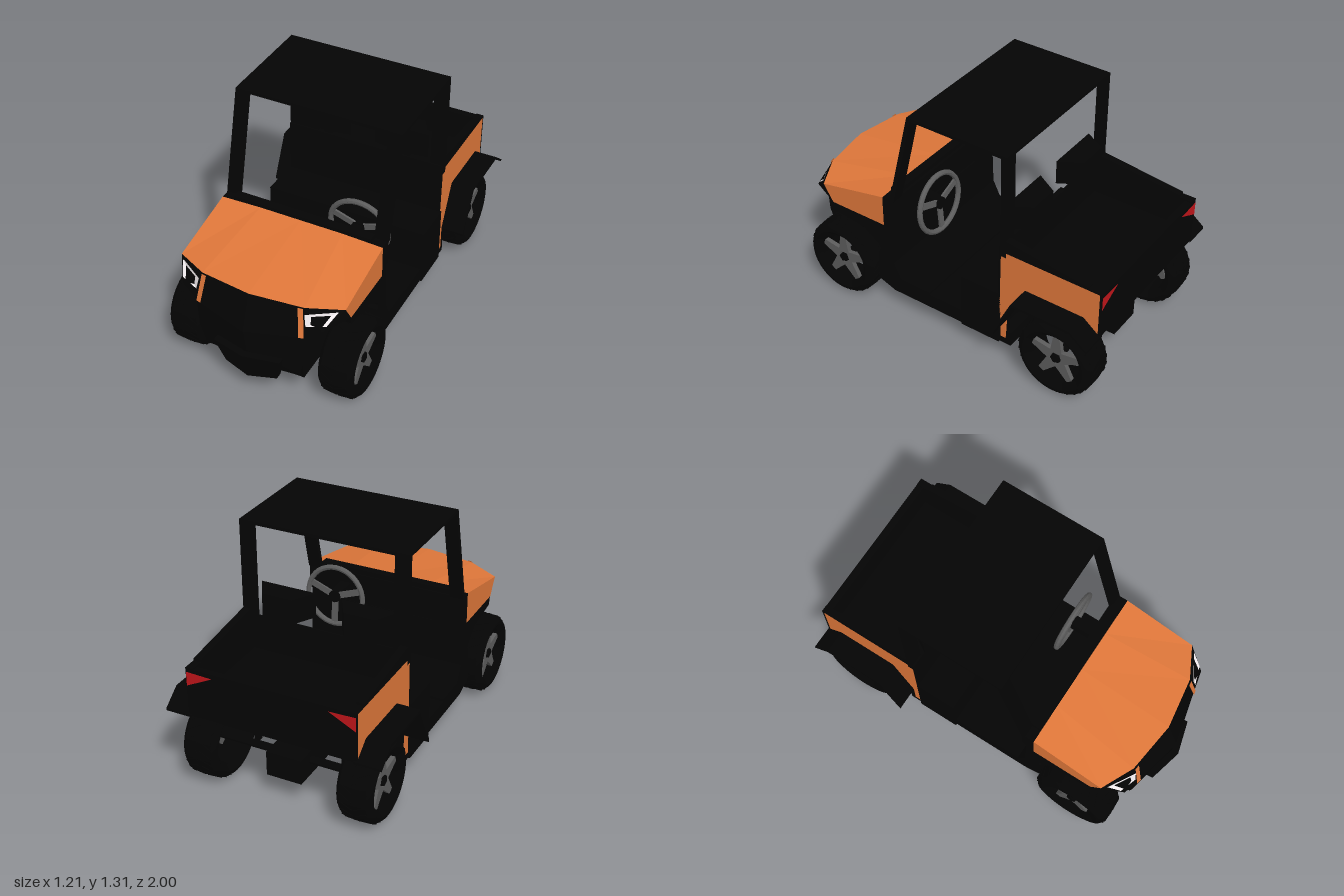
import * as THREE from 'three';
import { mergeGeometries, toCreasedNormals } from 'three/addons/utils/BufferGeometryUtils.js';

const mat = (color) => new THREE.MeshStandardMaterial({ color, flatShading: true, side: THREE.DoubleSide });

export function createModel() {
  const model = new THREE.Group();
  const black = mat(0x040404), orange = mat(0xdf773a), grey = mat(0x5c5c5c);
  const white = mat(0xf2ecee), red = mat(0xc0151a);
  const rubber = new THREE.MeshStandardMaterial({ color: 0x040404 });

  const add = (name, geometry, material, parent = model) => {
    const mesh = new THREE.Mesh(geometry, material);
    mesh.name = name;
    parent.add(mesh);
    return mesh;
  };
  // Box given by its limits on each axis
  const box = (name, material, x0, x1, y0, y1, z0, z1) => add(name,
    new THREE.BoxGeometry(x1 - x0, y1 - y0, z1 - z0)
      .translate((x0 + x1) / 2, (y0 + y1) / 2, (z0 + z1) / 2), material);
  // Side outline of [z, y] points, extruded from x0 to x1
  const side = (name, material, pts, x0, x1) => {
    const shape = new THREE.Shape(pts.map(([z, y]) => new THREE.Vector2(-z, y)));
    const g = new THREE.ExtrudeGeometry(shape, { depth: x1 - x0, bevelEnabled: false });
    return add(name, g.rotateY(Math.PI / 2).translate(x0, 0, 0), material);
  };
  // Flat facets on the left half, mirrored to the right
  const facets = (name, material, polys) => {
    const v = [];
    for (const p of polys) for (let i = 1; i < p.length - 1; i++) {
      const t = [p[0], p[i], p[i + 1]];
      t.forEach(([x, y, z]) => v.push(x, y, z));
      t.reverse().forEach(([x, y, z]) => v.push(-x, y, z));
    }
    const g = new THREE.BufferGeometry();
    g.setAttribute('position', new THREE.Float32BufferAttribute(v, 3));
    g.computeVertexNormals();
    return add(name, g, material);
  };

  // Hood and nose
  const A = [0, .743, .355], P = [.24, .743, .355], B = [.47, .735, .355], C = [.47, .648, .77];
  const D = [.29, .66, .86], E = [0, .667, .9], F = [.47, .55, .71], G = [0, .47, .97];
  const H = [.31, .5, .9], M = [.4, .56, .88], J = [0, .33, .95], K = [.31, .33, .89];
  const L = [.29, .2, .87], N = [0, .2, .9];
  facets('hood', orange, [[A, P, D, E], [P, B, C, D], [B, [.47, .55, .355], F, C]]);
  facets('fascia', black, [[E, D, H, G], [G, H, K, J], [D, C, M, H], [C, F, M], [F, M, H, [.29, .5, .71]], [J, K, L, N]]);
  facets('headlights', white, [[[.445, .643, .796], [.3, .635, .881], [.312, .57, .893], [.41, .585, .861]]]);
  facets('fasciaTrim', orange, [[[.26, .66, .874], [.288, .66, .87], [.308, .503, .907], [.281, .503, .913]]]);
  side('frontFenderBody', black,
    [[.35, .55], [.71, .55], [.7, .5], [.5, .47], [.4, .4], [.35, .31], [.3, .31], [.31, .55]], -.468, .468);
  side('frontChassis', black,
    [[.3, .55], [.71, .56], [.86, .56], [.9, .5], [.893, .33], [.875, .2], [.6, .2], [.3, .12]], -.29, .29);

  // V-shaped front bumper
  const bt = [0, .33, 1], bo = [.19, .32, .95], bb = [0, .15, .95], bc = [.15, .16, .91];
  const back = ([x, y, z]) => [x, y, z - .04];
  facets('bumper', black, [[bt, bo, bc, bb], [bt, bo, back(bo), back(bt)], [bo, bc, back(bc), back(bo)],
    [bc, bb, back(bb), back(bc)], [back(bt), back(bo), back(bc), back(bb)]]);

  // Dash, kick panel, floor, seat base and the wall behind it
  box('dash', black, -.47, .47, .59, .735, .285, .355);
  box('cowlEdge', black, -.4, .4, .73, .76, .3, .352);
  side('kickPanel', black,
    [[.355, .6], [.31, .6], [.3, .31], [.25, .21], [.25, .12], [.3, .12], [.41, .16], [.4, .35], [.355, .42]], -.47, .47);
  box('floor', black, -.47, .47, .12, .205, -.47, .28);
  box('floorSill', black, -.47, .47, .2, .218, .06, .27);
  box('seatBase', black, -.48, .48, .12, .45, -.4, -.16);
  box('seatWall', black, -.472, .472, .13, .757, -.407, -.394);

  // Headrests, narrower at the back
  const rest = (w, z) => [[-w, .95], [w, .95], [w, .81], [.03, .795], [-.03, .795], [-w, .81]]
    .map(([x, y]) => [x + .233, y, z]);
  const front = rest(.158, -.375), rear = rest(.085, -.5);
  facets('headrests', black, [front, rear.slice().reverse(),
    ...front.map((p, i) => [p, rear[i], rear[(i + 1) % 6], front[(i + 1) % 6]])]);
  for (const x of [-.24, .24]) box('headrestStem', black, x - .02, x + .02, .74, .81, -.45, -.41);

  // Roof and pillars
  box('roof', black, -.473, .473, 1.293, 1.31, -.437, .165);
  for (const x of [-.473, .396]) {
    side('frontPillar', black, [[.305, .73], [.165, 1.31], [.145, 1.3], [.28, .73]], x, x + .077);
    box('rearPillar', black, x, x + .077, .7, 1.3, -.437, -.405);
  }

  // Cargo bed with side panels, rails and rear mudguards
  box('bedFloor', black, -.44, .44, .53, .56, -.98, -.41);
  box('tailgate', black, -.43, .43, .5, .73, -.986, -.955);
  box('tailgateSkin', black, -.472, .472, .46, .732, -.996, -.985);
  const arch = [[-.44, .29], [-.56, .535], [-.9, .535]];
  const archUnder = [[-.444, .285], [-.563, .531], [-.899, .531]];
  for (const s of [-1, 1]) {
    const span = (a, b) => (s > 0 ? [a, b] : [-b, -a]);
    const panel = [[-.407, .73], [-.397, .16], [-.44, .16], ...arch, [-.985, .463], [-.985, .73]];
    side('bedSidePanel', orange, panel, ...span(.462, .472));
    side('bedLiner', black, panel, ...span(.43, .462));
    side('bedRail', black, [[-.407, .73], [-.407, .812], [-.45, .803], [-.92, .748], [-.92, .737],
      [-.996, .737], [-.996, .73]], ...span(.43, .473));
    side('mudguard', black, [...archUnder, [-1, .452], [-1, .466], [-.9, .545], [-.555, .545], [-.439, .3]], ...span(.455, .603));
    box('bedStrut', black, ...span(.24, .27), .2, .54, -.71, -.68);
  }
  facets('tailLights', red, [[[.468, .715, -.999], [.32, .71, -.999], [.468, .635, -.999]]]);
  box('transmission', black, -.1, .1, .14, .28, -.88, -.46);

  // Steering wheel and column
  const steering = new THREE.Group();
  steering.name = 'steeringWheel';
  steering.position.set(.24, .648, .155);
  steering.rotation.x = .08;
  model.add(steering);
  add('steeringRim', new THREE.TorusGeometry(.168, .015, 8, 36), grey, steering);
  for (const a of [.35, Math.PI - .35, -Math.PI / 2]) {
    add('steeringSpoke', new THREE.BoxGeometry(.16, .035, .012).translate(.08, 0, 0).rotateZ(a), grey, steering);
  }
  add('steeringHub', new THREE.CylinderGeometry(.035, .035, .03, 12).rotateX(Math.PI / 2), black, steering);
  box('steeringColumn', black, .21, .27, .615, .675, .16, .3);

  // Wheels: lathed tyre, chevron tread, open five-spoke rim; axle on x, outside at +x
  const profile = [[.148, -.075], [.18, -.1], [.2, -.095], [.218, -.075], [.223, 0],
    [.218, .075], [.2, .095], [.18, .1], [.148, .075], [.142, 0], [.148, -.075]];
  const tyre = toCreasedNormals(new THREE.LatheGeometry(profile.map((p) => new THREE.Vector2(...p)), 40)
    .rotateZ(-Math.PI / 2), .6);
  const lugs = [];
  for (let i = 0; i < 28; i++) for (const s of [-1, 1]) {
    lugs.push(new THREE.BoxGeometry(.075, .016, .018).rotateY(s * .5).rotateZ(-s * .07)
      .translate(s * .04, .215, 0).rotateX((i / 28) * Math.PI * 2));
  }
  const tread = mergeGeometries(lugs);
  const spokeShape = new THREE.Shape([[-.036, .03], [.036, .03], [.017, .147], [-.017, .147]]
    .map((p) => new THREE.Vector2(...p)));
  const spokes = [];
  for (let i = 0; i < 5; i++) {
    spokes.push(new THREE.ExtrudeGeometry(spokeShape, { depth: .025, bevelEnabled: false })
      .rotateZ((i / 5) * Math.PI * 2).rotateY(Math.PI / 2).translate(.04, 0, 0));
  }
  const rim = mergeGeometries(spokes);
  const hub = new THREE.CylinderGeometry(.028, .035, .05, 5).rotateZ(-Math.PI / 2).translate(.048, 0, 0);
  for (const z of [.63, -.77]) {
    for (const s of [-1, 1]) {
      const wheel = new THREE.Group();
      wheel.name = (z > 0 ? 'front' : 'rear') + 'Wheel';
      wheel.position.set(s * .44, .225, z);
      if (s < 0) wheel.rotation.y = Math.PI;
      add('tyre', tyre, rubber, wheel);
      add('tread', tread, black, wheel);
      add('rimSpokes', rim, grey, wheel);
      add('hub', hub, black, wheel);
      model.add(wheel);
    }
    add('axle', new THREE.CylinderGeometry(.022, .022, .96, 10).rotateZ(Math.PI / 2).translate(0, .225, z), black);
  }
  return model;
}
